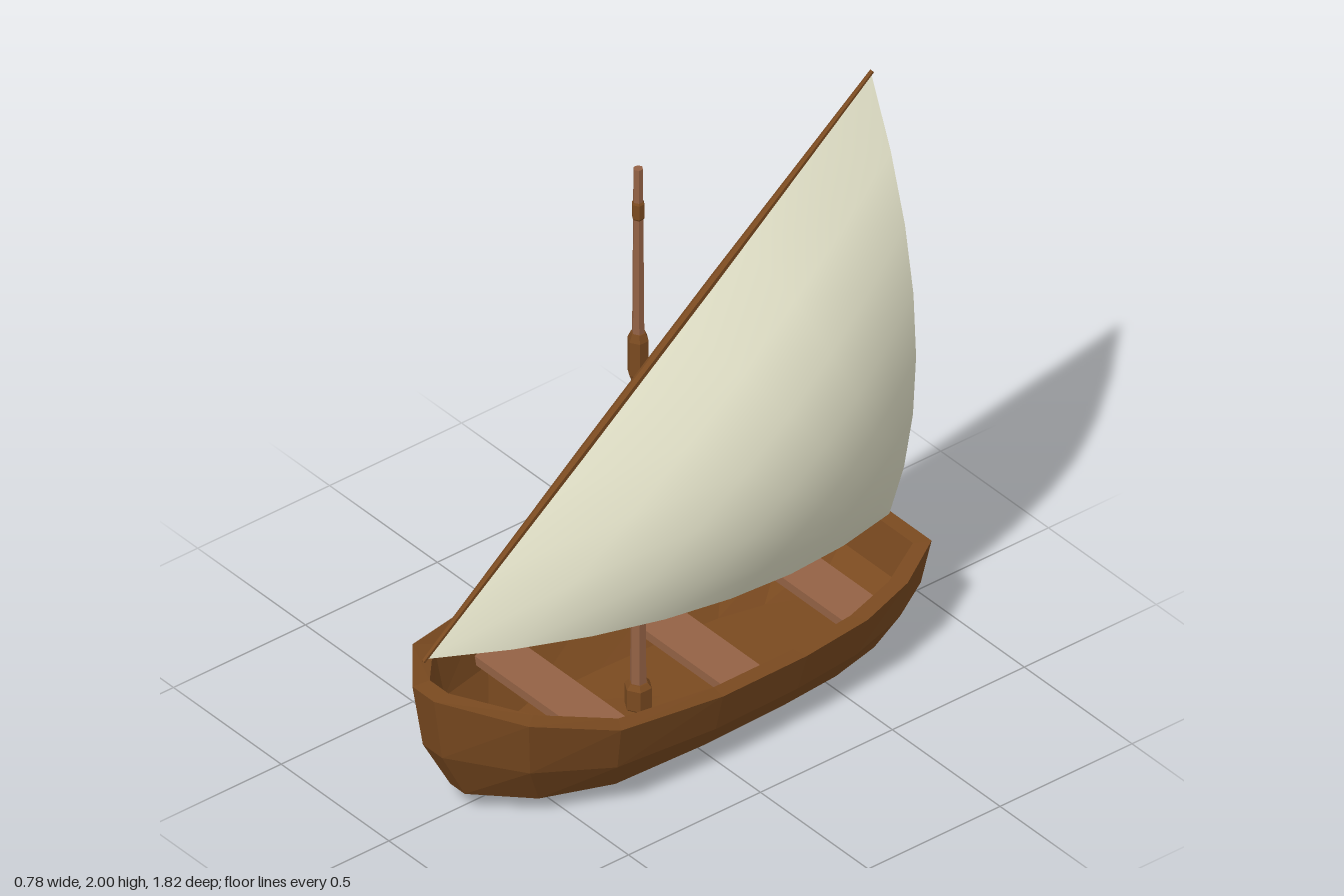
import * as THREE from 'three';

const paint = (color, extra = {}) => new THREE.MeshStandardMaterial({ color, flatShading: true, ...extra });
const darkWood = paint(0x7a4a20);
const lightWood = paint(0x946245);
const cloth = paint(0xe2e1c8, { flatShading: false, side: THREE.DoubleSide });

function part(name, geometry, material, parent) {
  const mesh = new THREE.Mesh(geometry, material);
  mesh.name = name;
  parent.add(mesh);
  return mesh;
}

// Gunwale line of the left side, bow to stern: half width, height, z
const GUNWALE = [
  [0.05, 0.47, 0.87], [0.27, 0.42, 0.69], [0.38, 0.35, 0.43], [0.388, 0.306, 0.05],
  [0.375, 0.297, -0.28], [0.35, 0.3, -0.53], [0.29, 0.31, -0.73], [0.18, 0.32, -0.91],
];

// Closed loop at one level of the hull: narrowed, and remapped between its own bow and stern
function hullRing({ width, bow, stern, height }) {
  const side = GUNWALE.map(([x, y, z]) => [
    x * width, height(y), THREE.MathUtils.mapLinear(z, -0.91, 0.87, stern, bow),
  ]);
  return [...side, ...side.map(([x, y, z]) => [-x, y, z]).reverse()];
}

function hullGeometry() {
  const rings = [
    // outer skin, keel to gunwale
    { width: 0.51, bow: 0.61, stern: -0.77, height: y => (y - 0.297) * 0.09 },
    { width: 0.67, bow: 0.74, stern: -0.84, height: y => y * 0.15 },
    { width: 0.89, bow: 0.835, stern: -0.885, height: y => y * 0.53 },
    { width: 1, bow: 0.87, stern: -0.91, height: y => y },
    // inner skin, gunwale to floor
    { width: 0.86, bow: 0.81, stern: -0.86, height: y => y },
    { width: 0.78, bow: 0.78, stern: -0.83, height: y => y * 0.55 },
    { width: 0.56, bow: 0.63, stern: -0.69, height: y => 0.04 + y * 0.06 },
  ].map(hullRing);
  const n = rings[0].length;
  const positions = rings.flat(2);
  const index = [];
  for (let k = 0; k < rings.length - 1; k++) {
    for (let i = 0; i < n; i++) {
      const j = (i + 1) % n;
      const a = k * n + i, b = k * n + j, c = a + n, d = b + n;
      index.push(a, b, d, a, d, c);
    }
  }
  // bottom and floor, each a fan around its middle
  const bottom = rings.length * n, floor = bottom + 1, last = (rings.length - 1) * n;
  positions.push(0, 0, -0.08, 0, 0.058, -0.03);
  for (let i = 0; i < n; i++) {
    const j = (i + 1) % n;
    index.push(bottom, j, i, floor, last + i, last + j);
  }
  const g = new THREE.BufferGeometry();
  g.setAttribute('position', new THREE.Float32BufferAttribute(positions, 3));
  g.setIndex(index);
  g.computeVertexNormals();
  return g;
}

// Plank whose ends follow the curve of the hull
function benchGeometry(halfFront, halfBack) {
  const g = new THREE.BoxGeometry(2, 0.03, 0.15);
  const p = g.attributes.position;
  for (let i = 0; i < p.count; i++) {
    p.setX(i, p.getX(i) * (p.getZ(i) > 0 ? halfFront : halfBack));
  }
  return g;
}

// Hexagonal collar with chamfered ends
function collarGeometry(radius, y0, y1, chamfer) {
  const profile = [
    [0.01, y0], [radius * 0.7, y0], [radius, y0 + chamfer],
    [radius, y1 - chamfer], [radius * 0.7, y1], [0.01, y1],
  ].map(([r, y]) => new THREE.Vector2(r, y));
  return new THREE.LatheGeometry(profile, 6);
}

// Triangular sail: u runs along the yard, v from the yard to the loose corner
function sailGeometry() {
  const tack = new THREE.Vector3(0.045, 0.635, 0.9);
  const peak = new THREE.Vector3(0.045, 1.99, -0.79);
  const clew = new THREE.Vector3(0.045, 0.365, -0.86);
  const g = new THREE.PlaneGeometry(1, 1, 7, 7);
  const p = g.attributes.position, uv = g.attributes.uv;
  const v = new THREE.Vector3();
  for (let i = 0; i < p.count; i++) {
    const c = uv.getY(i);
    const a = (1 - c) * (1 - uv.getX(i)), b = (1 - c) * uv.getX(i);
    v.set(0, 0, 0).addScaledVector(tack, a).addScaledVector(peak, b).addScaledVector(clew, c);
    v.x += 0.78 * c * (1 - c) + 2.5 * a * b * c; // belly of the sail
    v.y += 0.1 * a * c;                          // curved foot
    v.z += 0.1 * b * c;                          // curved trailing edge
    p.setXYZ(i, v.x, v.y, v.z);
  }
  g.computeVertexNormals();
  return g;
}

export function createModel() {
  const boat = new THREE.Group();
  boat.name = 'sailboat';

  part('hull', hullGeometry(), darkWood, boat);

  // Benches: z, half width at the front edge and at the back edge
  const benches = [['frontBench', 0.365, 0.3, 0.318], ['middleBench', -0.105, 0.325, 0.315], ['rearBench', -0.585, 0.29, 0.25]];
  for (const [name, z, front, back] of benches) {
    part(name, benchGeometry(front, back), lightWood, boat).position.set(0, 0.24, z);
  }

  // Mast with its collars
  const mast = new THREE.Group();
  mast.name = 'mast';
  mast.position.z = 0.055;
  boat.add(mast);
  part('lowerMast', new THREE.CylinderGeometry(0.02, 0.026, 1.25, 6), lightWood, mast).position.y = 0.675;
  part('upperMast', new THREE.CylinderGeometry(0.015, 0.02, 0.7, 6), lightWood, mast).position.y = 1.65;
  part('mastFoot', collarGeometry(0.043, 0.05, 0.15, 0.015), darkWood, mast);
  part('mastCollar', collarGeometry(0.033, 1.24, 1.41, 0.025), darkWood, mast);
  part('topCollar', collarGeometry(0.02, 1.815, 1.885, 0.01), darkWood, mast);

  // Slanting yard, thinner at both ends
  const low = new THREE.Vector3(0.045, 0.63, 0.907), high = new THREE.Vector3(0.045, 1.992, -0.795);
  const length = low.distanceTo(high);
  const profile = [[0, 0], [0.008, 0], [0.014, 0.35], [0.014, 0.65], [0.007, 1], [0, 1]]
    .map(([r, t]) => new THREE.Vector2(r, t * length));
  const yard = part('yard', new THREE.LatheGeometry(profile, 6), darkWood, boat);
  yard.position.copy(low);
  yard.quaternion.setFromUnitVectors(new THREE.Vector3(0, 1, 0), high.clone().sub(low).normalize());

  part('sail', sailGeometry(), cloth, boat);
  return boat;
}
